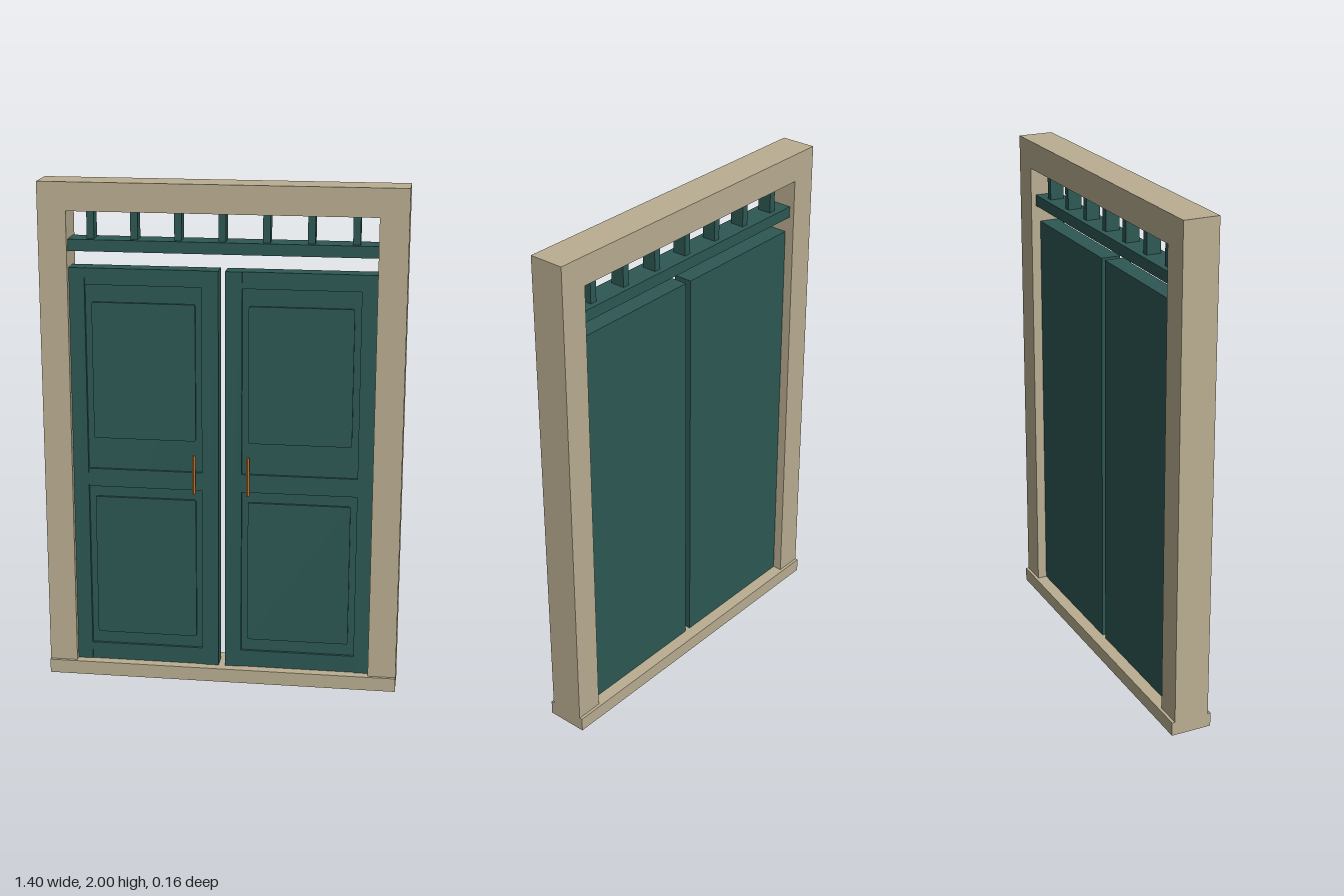
import * as THREE from 'three';

const stone = new THREE.MeshStandardMaterial({ color: 0xbaae92 });
stone.name = 'stone';
const paint = new THREE.MeshStandardMaterial({ color: 0x2d5853 });
paint.name = 'green paint';
const brass = new THREE.MeshStandardMaterial({ color: 0xb07030 });
brass.name = 'brass';

// Box given by its extents on each axis
function block(name, material, [x0, x1], [y0, y1], [z0, z1]) {
  const mesh = new THREE.Mesh(new THREE.BoxGeometry(x1 - x0, y1 - y0, z1 - z0), material);
  mesh.position.set((x0 + x1) / 2, (y0 + y1) / 2, (z0 + z1) / 2);
  mesh.name = name;
  return mesh;
}

// Raised panel with slightly rounded corners
function raisedPanel(name, [x0, x1], [y0, y1], [z0, z1]) {
  const r = 0.008;
  const s = new THREE.Shape();
  s.moveTo(x0 + r, y0);
  s.lineTo(x1 - r, y0);
  s.quadraticCurveTo(x1, y0, x1, y0 + r);
  s.lineTo(x1, y1 - r);
  s.quadraticCurveTo(x1, y1, x1 - r, y1);
  s.lineTo(x0 + r, y1);
  s.quadraticCurveTo(x0, y1, x0, y1 - r);
  s.lineTo(x0, y0 + r);
  s.quadraticCurveTo(x0, y0, x0 + r, y0);
  const geometry = new THREE.ExtrudeGeometry(s, { depth: z1 - z0, bevelEnabled: false, curveSegments: 3 });
  geometry.translate(0, 0, z0);
  const mesh = new THREE.Mesh(geometry, paint);
  mesh.name = name;
  return mesh;
}

// One door leaf; side is +1 for the left leaf and -1 for the right
function doorLeaf(side) {
  const leaf = new THREE.Group();
  leaf.name = side > 0 ? 'leftDoor' : 'rightDoor';
  const span = (a, b) => (side > 0 ? [a, b] : [-b, -a]);
  const bottom = 0.056, top = 1.67, face = 0.03;

  leaf.add(block('doorSlab', paint, span(0.013, 0.59), [bottom, top], [-0.032, face]));
  leaf.add(block('innerStile', paint, span(0.013, 0.078), [bottom, top], [face, 0.045]));
  leaf.add(block('outerStile', paint, span(0.53, 0.59), [bottom, top], [face, 0.045]));
  for (const [name, y0, y1] of [
    ['bottomRail', bottom, 0.125], ['middleRail', 0.795, 0.868], ['topRail', 1.605, top],
  ]) leaf.add(block(name, paint, span(0.078, 0.53), [y0, y1], [face, 0.041]));

  leaf.add(raisedPanel('lowerPanel', span(0.103, 0.505), [0.175, 0.752], [face, 0.041]));
  leaf.add(raisedPanel('upperPanel', span(0.103, 0.505), [0.995, 1.537], [face, 0.041]));

  // Six-sided pull bar
  const bar = new THREE.CylinderGeometry(0.008, 0.008, 0.155, 6).toNonIndexed();
  bar.computeVertexNormals();
  const handle = new THREE.Mesh(bar, brass);
  handle.position.set(side * 0.106, 0.868, 0.07);
  handle.name = 'handle';
  leaf.add(handle);
  return leaf;
}

export function createModel() {
  const model = new THREE.Group();
  model.name = 'doubleDoorway';

  // Stone surround
  const surround = new THREE.Group();
  surround.name = 'surround';
  surround.add(block('sill', stone, [-0.7, 0.7], [0, 0.056], [-0.082, 0.082]));
  surround.add(block('rightPost', stone, [-0.7, -0.59], [0.056, 2], [-0.07, 0.07]));
  surround.add(block('leftPost', stone, [0.59, 0.7], [0.056, 2], [-0.07, 0.07]));
  surround.add(block('lintel', stone, [-0.59, 0.59], [1.89, 2], [-0.07, 0.07]));
  model.add(surround);

  // Transom bar with seven short uprights
  const transom = new THREE.Group();
  transom.name = 'transom';
  transom.add(block('transomBar', paint, [-0.59, 0.59], [1.735, 1.78], [-0.05, 0.05]));
  for (let i = -3; i <= 3; i++) {
    const x = i * 0.1685;
    transom.add(block('transomUpright', paint, [x - 0.014, x + 0.014], [1.78, 1.89], [-0.028, 0.028]));
  }
  model.add(transom);

  for (const side of [1, -1]) model.add(doorLeaf(side));
  return model;
}
